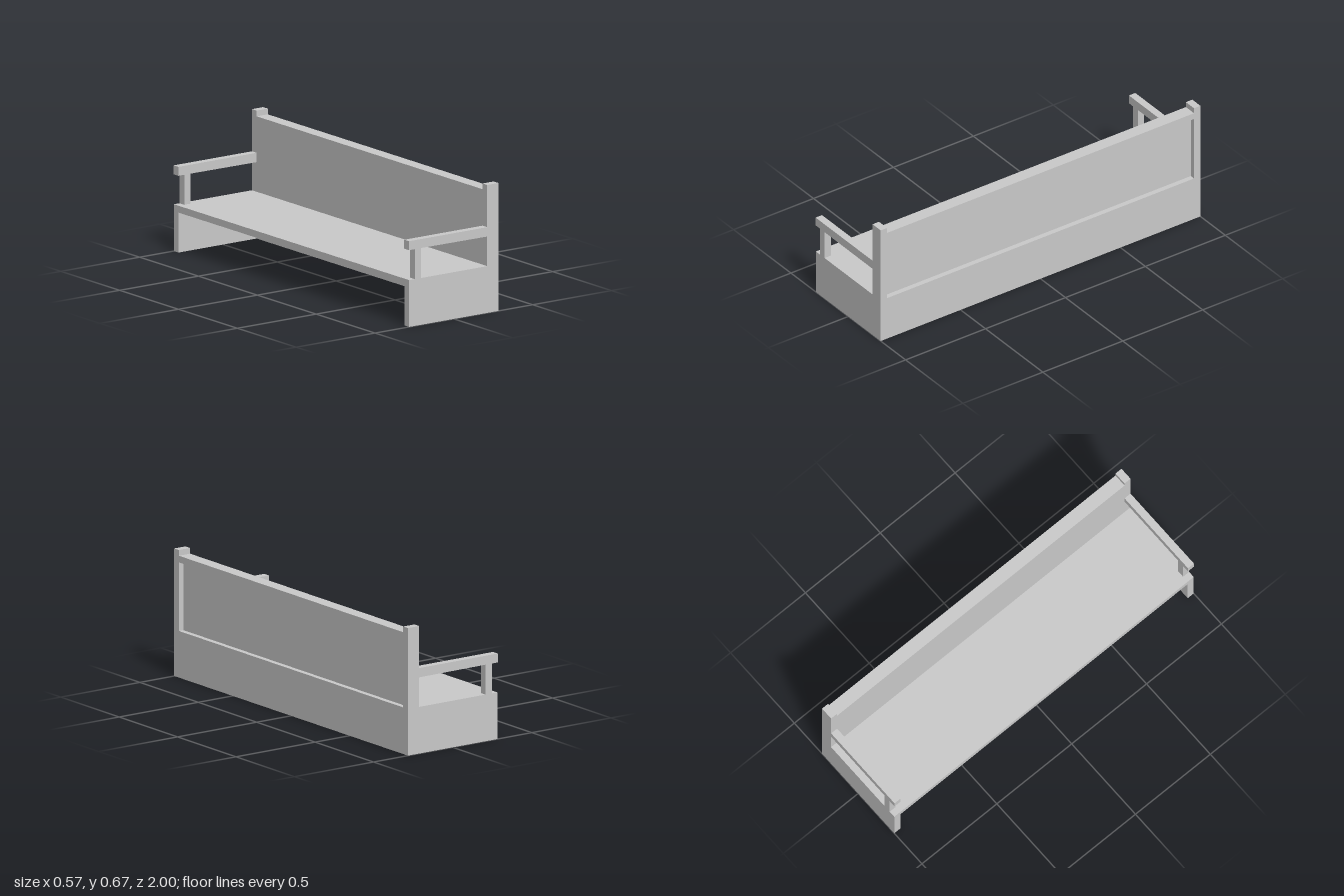
import * as THREE from 'three';

const END = 0.04;          // thickness of each end frame
const INNER = 1 - END;     // half length between the end frames
const BACK_IN = 0.212, BACK_OUT = 0.283, FRONT = -0.283;
const SEAT_TOP = 0.245;

export function createModel() {
  const bench = new THREE.Group();
  bench.name = 'bench';
  const material = new THREE.MeshStandardMaterial({ color: 0xcccccc, flatShading: true });

  const add = (name, geometry) => {
    const mesh = new THREE.Mesh(geometry, material);
    mesh.name = name;
    bench.add(mesh);
    return mesh;
  };
  // Box spanning the given x and y ranges, between the end frames
  const board = (name, x0, x1, y0, y1) =>
    add(name, new THREE.BoxGeometry(x1 - x0, y1 - y0, 2 * INNER))
      .position.set((x0 + x1) / 2, (y0 + y1) / 2, 0);
  const points = (list) => list.map(([x, y]) => new THREE.Vector2(x, y));

  // End frame: side panel, tall back post, armrest and its front support
  const frame = new THREE.Shape(points([
    [FRONT, 0], [BACK_OUT, 0], [BACK_OUT, 0.67], [BACK_IN, 0.67],
    [BACK_IN, 0.449], [-0.285, 0.449], [-0.285, 0.402],
    [-0.247, 0.402], [-0.247, SEAT_TOP], [FRONT, SEAT_TOP],
  ]));
  // Opening under the armrest
  frame.holes.push(new THREE.Path(points([
    [-0.207, SEAT_TOP], [-0.207, 0.402], [BACK_IN, 0.4], [BACK_IN, SEAT_TOP],
  ])));
  const endGeometry = new THREE.ExtrudeGeometry(frame, { depth: END, bevelEnabled: false });
  add('leftEndFrame', endGeometry).position.z = INNER;
  add('rightEndFrame', endGeometry).position.z = -1;

  // Seat board, open underneath
  board('seat', FRONT, BACK_IN, SEAT_TOP - 0.036, SEAT_TOP);

  // Back: solid lower apron, recessed panel and top rail
  board('backApron', BACK_IN, BACK_OUT, 0, SEAT_TOP);
  board('backPanel', BACK_IN, 0.255, SEAT_TOP, 0.605);
  board('topRail', BACK_IN, BACK_OUT, 0.605, 0.64);

  return bench;
}
